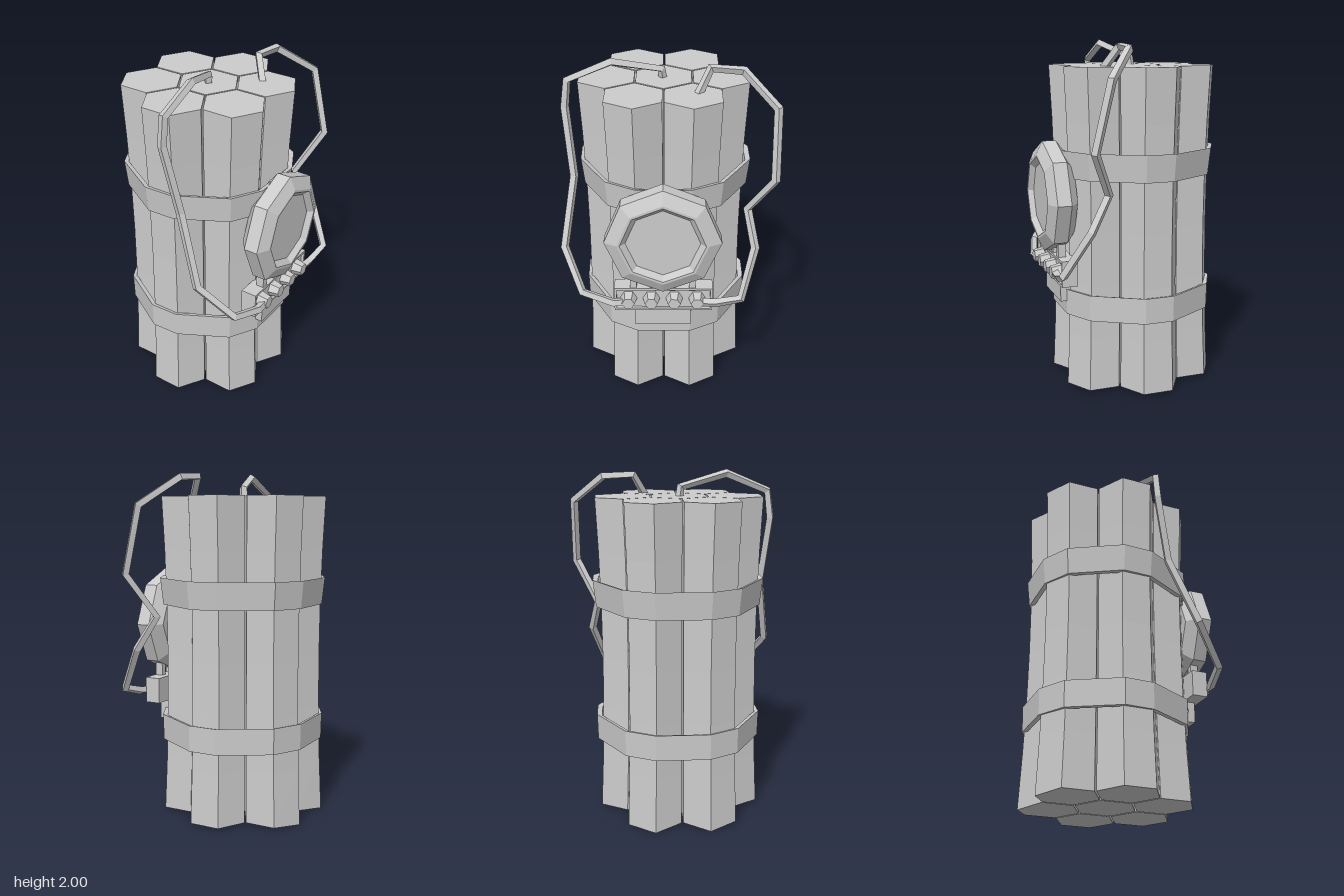
import * as THREE from 'three';

const mat = new THREE.MeshStandardMaterial({ color: 0xcccccc, flatShading: true });
const matDouble = new THREE.MeshStandardMaterial({ color: 0xcccccc, flatShading: true, side: THREE.DoubleSide });

const CX = -0.058, CZ = 0.017; // axis of the bundle
const BOTTOM = 0.014, TOP = 1.857;
const HEX_R = 0.177;

function add(parent, name, geometry, material = mat) {
  const mesh = new THREE.Mesh(geometry, material);
  mesh.name = name;
  parent.add(mesh);
  return mesh;
}

function box(parent, name, x0, x1, y0, y1, z0, z1) {
  const mesh = add(parent, name, new THREE.BoxGeometry(x1 - x0, y1 - y0, z1 - z0));
  mesh.position.set((x0 + x1) / 2, (y0 + y1) / 2, (z0 + z1) / 2);
}

// The bundle is squeezed slightly towards its axis at mid height
function squeeze(y) {
  const t = (y - 0.93) / 0.93;
  return 1 - 0.055 * Math.max(0, 1 - t * t);
}

// Hexagonal stick with corners pointing along x
function stick(x, z) {
  const h = TOP - BOTTOM;
  const g = new THREE.CylinderGeometry(HEX_R, HEX_R, h, 6, 6);
  g.rotateY(Math.PI / 2);
  g.translate(x, BOTTOM + h / 2, z);
  const p = g.attributes.position;
  for (let i = 0; i < p.count; i++) {
    const s = squeeze(p.getY(i));
    p.setX(i, CX + (p.getX(i) - CX) * s);
    p.setZ(i, CZ + (p.getZ(i) - CZ) * s);
    // the outermost bottom corners on the right hang a little lower
    if (p.getX(i) < -0.47 && p.getY(i) < 0.02) p.setY(i, 0);
  }
  return g;
}

// Strap following the outline of the bundle, as a closed ring of rectangular section
function strap(y0, y1, bottomScale, topScale) {
  const outline = [[-0.14, -0.475], [0.03, -0.475], [0.31, -0.31], [0.4, -0.14], [0.4, 0.17], [0.31, 0.335],
    [0.03, 0.49], [-0.14, 0.497], [-0.425, 0.335], [-0.513, 0.17], [-0.513, -0.14], [-0.425, -0.31]];
  const section = [[bottomScale - 0.06, y0], [bottomScale, y0], [topScale, y1], [topScale - 0.06, y1 - 0.008]];
  const pos = [], index = [];
  outline.forEach(([x, z], i) => {
    const n = ((i + 1) % outline.length) * 4;
    section.forEach(([s, y], k) => {
      pos.push(CX + (x - CX) * s, y, CZ + (z - CZ) * s);
      const a = i * 4 + k, b = i * 4 + (k + 1) % 4, c = n + (k + 1) % 4, d = n + k;
      index.push(a, b, c, a, c, d);
    });
  });
  const g = new THREE.BufferGeometry();
  g.setAttribute('position', new THREE.Float32BufferAttribute(pos, 3));
  g.setIndex(index);
  g.computeVertexNormals();
  return g;
}

// Rectangle path in the plane of the terminal block, z running to the left
function rectangle(path, z0, z1, y0, y1) {
  path.moveTo(-z0, y0);
  path.lineTo(-z1, y0);
  path.lineTo(-z1, y1);
  path.lineTo(-z0, y1);
  path.closePath();
  return path;
}

// Polyline whose samples fall exactly on its corners
class Polyline extends THREE.Curve {
  constructor(points) {
    super();
    this.points = points.map(p => new THREE.Vector3(...p));
  }
  getPointAt(t, target = new THREE.Vector3()) {
    return target.copy(this.points[Math.round(t * (this.points.length - 1))]);
  }
  getTangentAt(t, target = new THREE.Vector3()) {
    const last = this.points.length - 1, i = Math.round(t * last);
    const p = this.points[i];
    const before = p.clone().sub(this.points[Math.max(i - 1, 0)]).normalize();
    const after = this.points[Math.min(i + 1, last)].clone().sub(p).normalize();
    return target.copy(before).add(after).normalize();
  }
}

function wire(parent, name, points) {
  add(parent, name, new THREE.TubeGeometry(new Polyline(points), points.length - 1, 0.025, 4), matDouble);
}

export function createModel() {
  const root = new THREE.Group();
  root.name = 'bundle';

  // Seven sticks: one in the middle and six around it
  const sticks = new THREE.Group();
  sticks.name = 'sticks';
  root.add(sticks);
  add(sticks, 'centreStick', stick(CX, CZ));
  for (let i = 0; i < 6; i++) {
    const a = Math.PI / 6 + i * Math.PI / 3;
    add(sticks, 'outerStick', stick(CX + 0.316 * Math.cos(a), CZ + 0.316 * Math.sin(a)));
  }

  // Straps
  add(root, 'upperStrap', strap(1.24, 1.395, 0.965, 1));
  add(root, 'lowerStrap', strap(0.44, 0.59, 0.978, 0.985));

  // Octagonal dial with a raised rim, facing +x
  const dial = new THREE.Group();
  dial.name = 'dial';
  dial.position.set(0, 1.112, 0.018);
  root.add(dial);
  const profile = [[0, 0.345], [0.25, 0.345], [0.322, 0.4], [0.322, 0.48], [0.25, 0.515], [0.235, 0.515], [0.205, 0.485], [0, 0.485]];
  const dialGeometry = new THREE.LatheGeometry(profile.map(([r, h]) => new THREE.Vector2(r, h)), 8);
  dialGeometry.rotateZ(-Math.PI / 2);
  add(dial, 'dialCase', dialGeometry);

  // Terminal block with a raised border and a mounting plate below
  const block = new THREE.Group();
  block.name = 'terminalBlock';
  root.add(block);
  box(block, 'blockBase', 0.36, 0.435, 0.64, 0.79, -0.262, 0.295);
  box(block, 'mountingPlate', 0.36, 0.428, 0.52, 0.645, -0.14, 0.18);
  const border = rectangle(new THREE.Shape(), 0.295, -0.262, 0.64, 0.79);
  border.holes.push(rectangle(new THREE.Path(), 0.282, -0.249, 0.653, 0.777));
  const borderGeometry = new THREE.ExtrudeGeometry(border, { depth: 0.02, bevelEnabled: false });
  borderGeometry.rotateY(Math.PI / 2);
  borderGeometry.translate(0.432, 0, 0);
  add(block, 'blockBorder', borderGeometry);

  // Hexagonal terminals, each joined to the dial by a short lead
  const nutGeometry = new THREE.CylinderGeometry(0.036, 0.05, 0.065, 6);
  nutGeometry.rotateZ(-Math.PI / 2);
  for (const z of [0.215, 0.085, -0.045, -0.175]) {
    add(block, 'terminal', nutGeometry).position.set(0.462, 0.713, z);
    const inward = (z - 0.02) * 0.85 + 0.02;
    box(block, 'lead', 0.4, 0.445, 0.77, 0.92, inward - 0.018, inward + 0.018);
  }

  // Wires from the stick tops to both ends of the block
  wire(root, 'frontWire', [[-0.06, 1.83, 0.02], [-0.05, 1.905, 0.03], [0.035, 1.975, 0.3], [0.04, 1.875, 0.54],
    [0.04, 1.72, 0.56], [0.115, 1.33, 0.522], [0.26, 0.945, 0.582], [0.43, 0.75, 0.475], [0.475, 0.71, 0.3], [0.47, 0.71, 0.23]]);
  wire(root, 'backWire', [[0.18, 1.83, -0.16], [0.1, 1.965, -0.235], [0.11, 1.955, -0.41], [0.265, 1.805, -0.585],
    [0.355, 1.43, -0.585], [0.24, 1.19, -0.455], [0.35, 1.0, -0.497], [0.49, 0.75, -0.42], [0.475, 0.71, -0.28], [0.47, 0.71, -0.19]]);

  return root;
}
